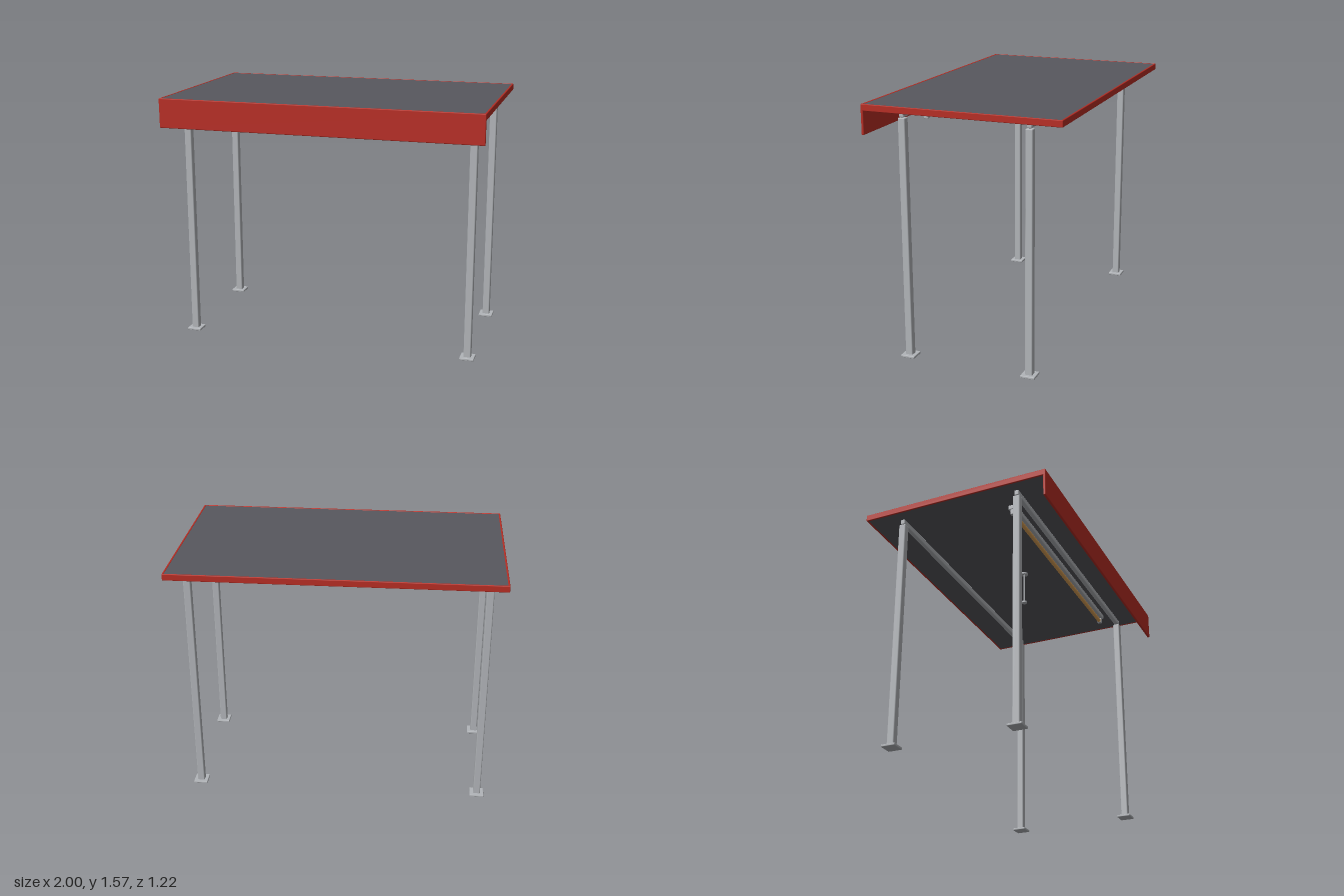
import * as THREE from 'three';
import { RoundedBoxGeometry } from 'three/addons/geometries/RoundedBoxGeometry.js';

const material = (name, color) => {
  const m = new THREE.MeshStandardMaterial({ color });
  m.name = name;
  return m;
};

export function createModel() {
  const roofGrey = material('roof grey', 0x58585e);
  const red = material('trim red', 0xb82d24);
  const steel = material('galvanised steel', 0xb2b5b9);
  const amber = material('lamp amber', 0xe0a458);

  const model = new THREE.Group();
  model.name = 'canopy';

  const add = (parent, name, geometry, mat, x, y, z) => {
    const mesh = new THREE.Mesh(geometry, mat);
    mesh.name = name;
    mesh.position.set(x, y, z);
    parent.add(mesh);
    return mesh;
  };
  // Box with slightly softened edges
  const bar = (w, h, d, r) => new RoundedBoxGeometry(w, h, d, 1, r);

  // Roof panel framed by red trim, with a deep fascia at the front
  const roof = new THREE.Group();
  roof.name = 'roof';
  model.add(roof);
  add(roof, 'roofPanel', new THREE.BoxGeometry(1.984, 0.036, 1.204), roofGrey, 0, 1.547, 0);
  for (const s of [-1, 1]) {
    add(roof, s > 0 ? 'leftTrim' : 'rightTrim', bar(0.012, 0.04, 1.22, 0.004), red, s * 0.994, 1.547, 0);
  }
  add(roof, 'backTrim', bar(2, 0.04, 0.012, 0.004), red, 0, 1.547, -0.604);
  add(roof, 'frontFascia', bar(2, 0.182, 0.016, 0.005), red, 0, 1.476, 0.602);

  // Two post-and-beam frames
  for (const sz of [-1, 1]) {
    const frame = new THREE.Group();
    frame.name = sz > 0 ? 'frontFrame' : 'backFrame';
    frame.position.z = sz * 0.39;
    model.add(frame);
    add(frame, 'beam', bar(1.85, 0.036, 0.03, 0.006), steel, 0, 1.508, 0);
    for (const sx of [-1, 1]) {
      add(frame, 'post', bar(0.045, 1.481, 0.045, 0.006), steel, sx * 0.906, 0.7465, 0);
      add(frame, 'basePlate', bar(0.09, 0.015, 0.09, 0.004), steel, sx * 0.906, 0.0075, 0);
    }
  }

  // Strip light hung under the roof, parallel to the front beam
  const lamp = new THREE.Group();
  lamp.name = 'stripLight';
  lamp.position.z = 0.302;
  model.add(lamp);
  add(lamp, 'lampHousing', bar(1.58, 0.032, 0.053, 0.006), steel, 0, 1.513, 0);
  const tube = add(lamp, 'lampTube', new THREE.CylinderGeometry(0.013, 0.013, 1.53, 16), amber, 0, 1.478, 0);
  tube.rotation.z = Math.PI / 2;
  for (const s of [-1, 1]) {
    add(lamp, 'lampHolder', bar(0.025, 0.038, 0.03, 0.004), steel, s * 0.775, 1.481, 0);
  }

  // Hanging rod with ceiling flange and end disc
  const hanger = new THREE.Group();
  hanger.name = 'hangingRod';
  hanger.position.z = 0.036;
  model.add(hanger);
  const disc = (r, h) => new THREE.CylinderGeometry(r, r, h, 20);
  add(hanger, 'ceilingFlange', disc(0.024, 0.012), steel, 0, 1.524, 0);
  add(hanger, 'rod', disc(0.005, 0.222), steel, 0, 1.413, 0);
  add(hanger, 'endDisc', disc(0.018, 0.011), steel, 0, 1.304, 0);

  return model;
}
